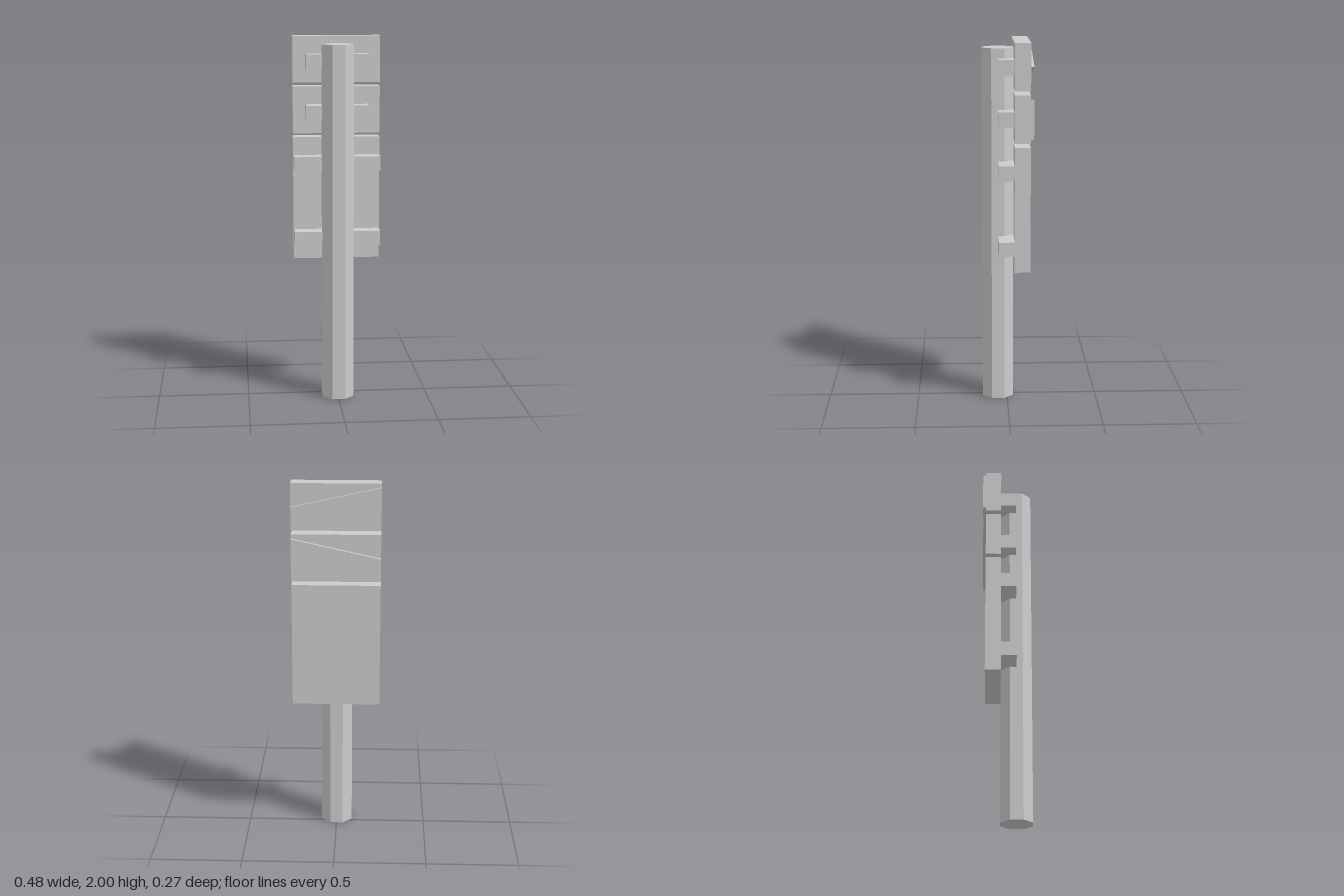
import * as THREE from 'three';

const material = new THREE.MeshStandardMaterial({ color: 0xcccccc, flatShading: true });

export function createModel() {
  const group = new THREE.Group();

  const add = (name, geometry) => {
    const mesh = new THREE.Mesh(geometry, material);
    mesh.name = name;
    group.add(mesh);
    return mesh;
  };

  // Box from its half width and its y and z limits, centred on x = 0
  const addBox = (name, halfWidth, y0, y1, z0, z1) =>
    add(name, new THREE.BoxGeometry(2 * halfWidth, y1 - y0, z1 - z0))
      .position.set(0, (y0 + y1) / 2, (z0 + z1) / 2);

  // Octagonal post with flats facing the axes
  const postRadius = 0.085 / Math.cos(Math.PI / 8);
  const post = add('post', new THREE.CylinderGeometry(postRadius, postRadius, 1.96, 8));
  post.geometry.rotateY(Math.PI / 8);
  post.position.set(0, 0.98, 0.05);

  // Sign panels behind the post
  const backZ = -0.12, frontZ = -0.035;
  addBox('lowerPanel', 0.238, 0.772, 1.451, backZ, frontZ);
  addBox('middlePanel', 0.238, 1.472, 1.728, backZ, frontZ);
  addBox('upperPanel', 0.238, 1.749, 2.0, backZ, frontZ);

  // Cross bars fixing the panels to the post
  const bars = [[0.235, 0.898], [0.235, 1.313], [0.17, 1.591], [0.17, 1.866]];
  for (const [halfWidth, y] of bars) {
    addBox('crossBar', halfWidth, y - 0.04, y + 0.04, frontZ, 0.05);
  }

  // Raised triangular arrows on the back, pointing in opposite directions
  const addArrow = (name, direction, y) => {
    const tip = 0.238 * direction;
    const shape = new THREE.Shape([
      new THREE.Vector2(tip, 0),
      new THREE.Vector2(-tip, 0.106),
      new THREE.Vector2(-tip, -0.106),
    ]);
    const geometry = new THREE.ExtrudeGeometry(shape, { depth: 0.027, bevelEnabled: false });
    add(name, geometry).position.set(0, y, -0.137);
  };
  addArrow('upperArrow', 1, 1.875);
  addArrow('middleArrow', -1, 1.6);

  return group;
}
